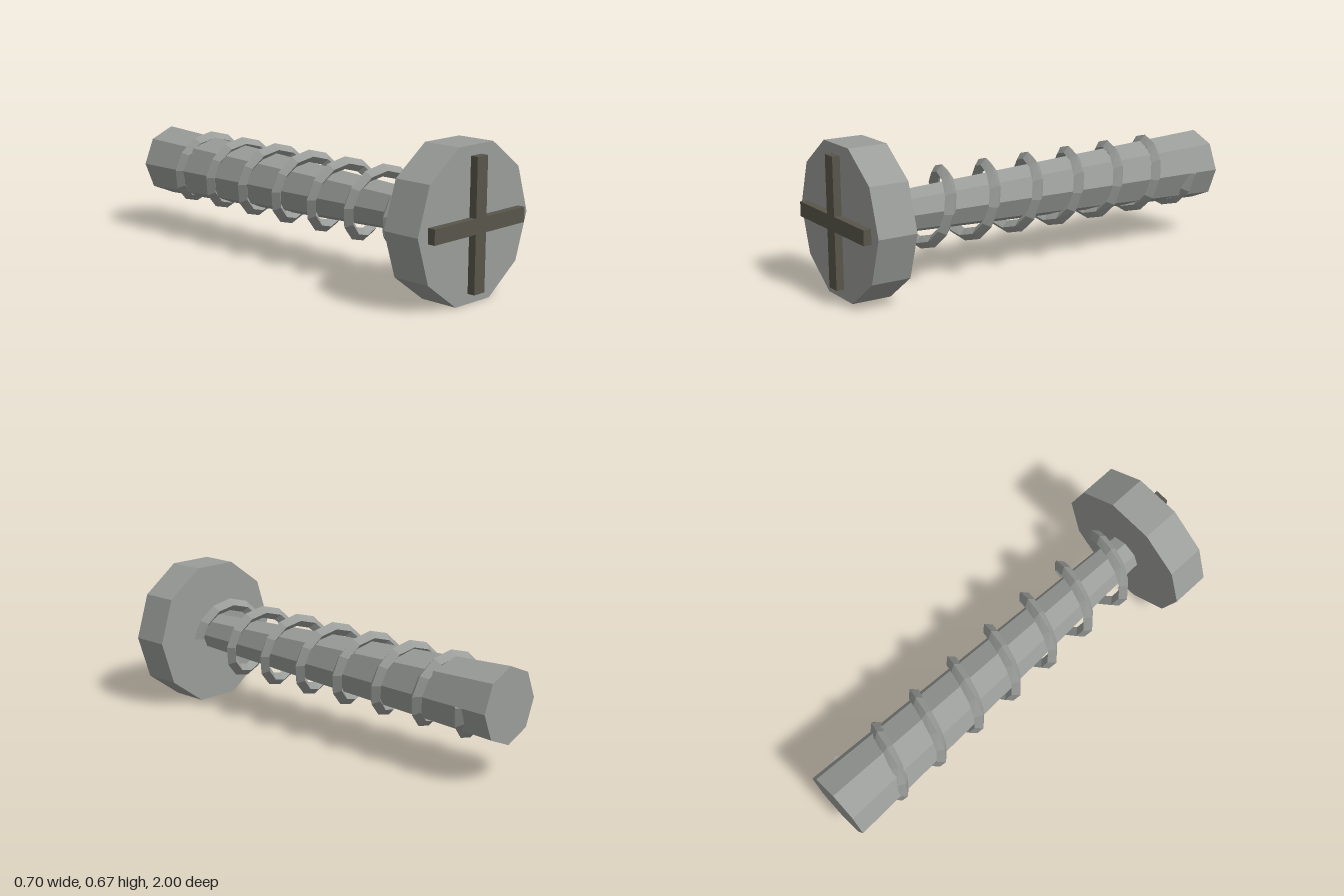
import * as THREE from 'three';

const CY = 0.333; // height of the screw axis

export function createModel() {
  const steel = new THREE.MeshStandardMaterial({ color: 0x9a9d99, flatShading: true });
  steel.name = 'steel grey';
  const slot = new THREE.MeshStandardMaterial({ color: 0x58554a, flatShading: true });
  slot.name = 'dark slot brown';

  const screw = new THREE.Group();
  screw.name = 'screw';
  const add = (name, geometry, material, z = 0) => {
    const mesh = new THREE.Mesh(geometry, material);
    mesh.name = name;
    mesh.position.set(0, CY, z);
    screw.add(mesh);
  };

  // Prism along z, spanning z0 (back) to z1 (front), with a corner on +x
  const prism = (rBack, rFront, z0, z1, sides) =>
    new THREE.CylinderGeometry(rFront, rBack, z1 - z0, sides, 1, false, Math.PI / 2)
      .rotateX(Math.PI / 2).translate(0, 0, (z0 + z1) / 2);

  add('head', prism(0.35, 0.35, 0.785, 0.965, 10), steel);
  add('shaft', prism(0.17, 0.09, -1, 0.785, 8), steel);

  // Raised cross on the head
  const L = 0.289, w = 0.033;
  const cross = new THREE.Shape([
    [w, w], [w, L], [-w, L], [-w, w], [-L, w], [-L, -w],
    [-w, -w], [-w, -L], [w, -L], [w, -w], [L, -w], [L, w],
  ].map(([x, y]) => new THREE.Vector2(x, y)));
  add('crossSlot', new THREE.ExtrudeGeometry(cross, { depth: 0.035, bevelEnabled: false }), slot, 0.965);

  add('thread', threadGeometry(), steel);
  return screw;
}

// Diamond section swept along a seven-turn helix
function threadGeometry() {
  const turns = 7, perTurn = 12, steps = turns * perTurn;
  const radius = 0.153, half = 0.029, zStart = 0.74, zEnd = -0.86;
  const positions = [], index = [];
  for (let i = 0; i <= steps; i++) {
    const phi = (i / perTurn) * Math.PI * 2;
    const z = zStart + (zEnd - zStart) * (i / steps);
    for (let j = 0; j < 4; j++) {
      const a = (j * Math.PI) / 2;
      const r = radius + half * Math.cos(a);
      positions.push(r * Math.cos(phi), r * Math.sin(phi), z + half * Math.sin(a));
      if (i < steps) {
        const p = i * 4 + j, q = i * 4 + ((j + 1) % 4);
        index.push(p, p + 4, q, q, p + 4, q + 4);
      }
    }
  }
  // End caps
  const e = steps * 4;
  index.push(0, 1, 2, 0, 2, 3, e, e + 2, e + 1, e, e + 3, e + 2);

  const geometry = new THREE.BufferGeometry();
  geometry.setAttribute('position', new THREE.Float32BufferAttribute(positions, 3));
  geometry.setIndex(index);
  const flat = geometry.toNonIndexed();
  flat.computeVertexNormals();
  return flat;
}
